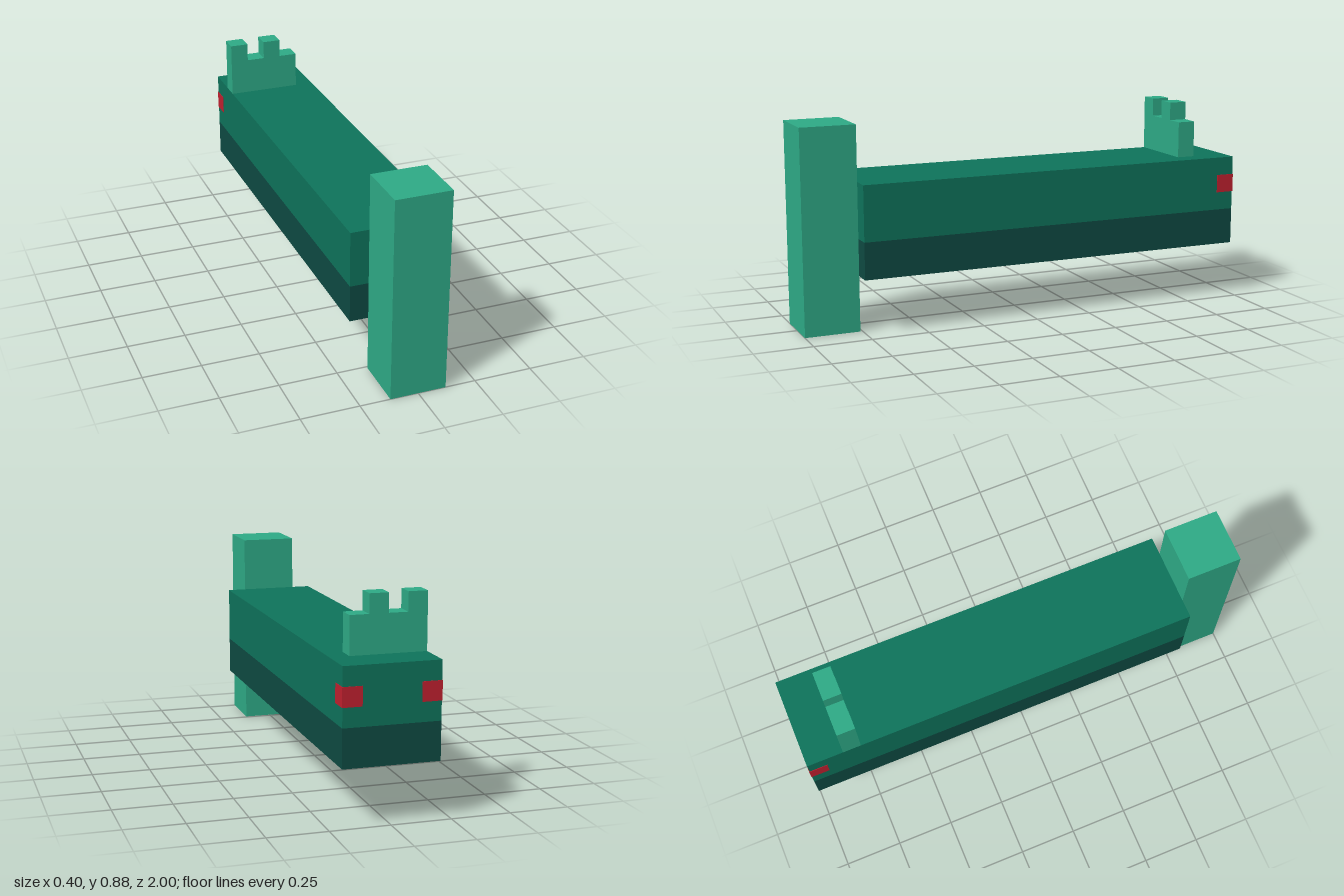
import * as THREE from 'three';

const material = (name, color) => {
  const m = new THREE.MeshStandardMaterial({ color });
  m.name = name;
  return m;
};

export function createModel() {
  const group = new THREE.Group();
  const lightGreen = material('lightGreen', 0x2eaa86);
  const green = material('green', 0x0e735b);
  const darkGreen = material('darkGreen', 0x0e4a42);
  const red = material('red', 0xc0202f);

  // Box given by its lower and upper corners
  const box = (name, mat, [x0, y0, z0], [x1, y1, z1]) => {
    const mesh = new THREE.Mesh(new THREE.BoxGeometry(x1 - x0, y1 - y0, z1 - z0), mat);
    mesh.position.set((x0 + x1) / 2, (y0 + y1) / 2, (z0 + z1) / 2);
    mesh.name = name;
    group.add(mesh);
  };

  // Upright post at the front
  box('post', lightGreen, [-0.12, 0, 0.76], [0.12, 0.88, 1]);

  // Long two-tone body
  box('upperBody', green, [-0.2, 0.4, -1], [0.2, 0.64, 0.76]);
  box('lowerBody', darkGreen, [-0.2, 0.24, -1], [0.2, 0.4, 0.76]);

  // Stepped crest, one outline extruded along z
  const crest = new THREE.Shape([
    [-0.2, 0.64], [0.12, 0.64], [0.12, 0.8], [0.04, 0.8], [0.04, 0.88],
    [-0.04, 0.88], [-0.04, 0.8], [-0.12, 0.8], [-0.12, 0.88], [-0.2, 0.88],
  ].map(([x, y]) => new THREE.Vector2(x, y)));
  const crestMesh = new THREE.Mesh(
    new THREE.ExtrudeGeometry(crest, { depth: 0.08, bevelEnabled: false }), lightGreen);
  crestMesh.position.z = -0.84;
  crestMesh.name = 'crest';
  group.add(crestMesh);

  // Eyes wrap around both back corners as thin plates
  const t = 0.002;
  for (const [side, name] of [[1, 'left'], [-1, 'right']]) {
    const inner = side * 0.12, face = side * 0.2, outer = side * (0.2 + t);
    box(name + 'EyeBack', red,
      [Math.min(inner, outer), 0.48, -1 - t], [Math.max(inner, outer), 0.56, -1]);
    box(name + 'EyeSide', red,
      [Math.min(face, outer), 0.48, -1], [Math.max(face, outer), 0.56, -0.92]);
  }
  return group;
}
